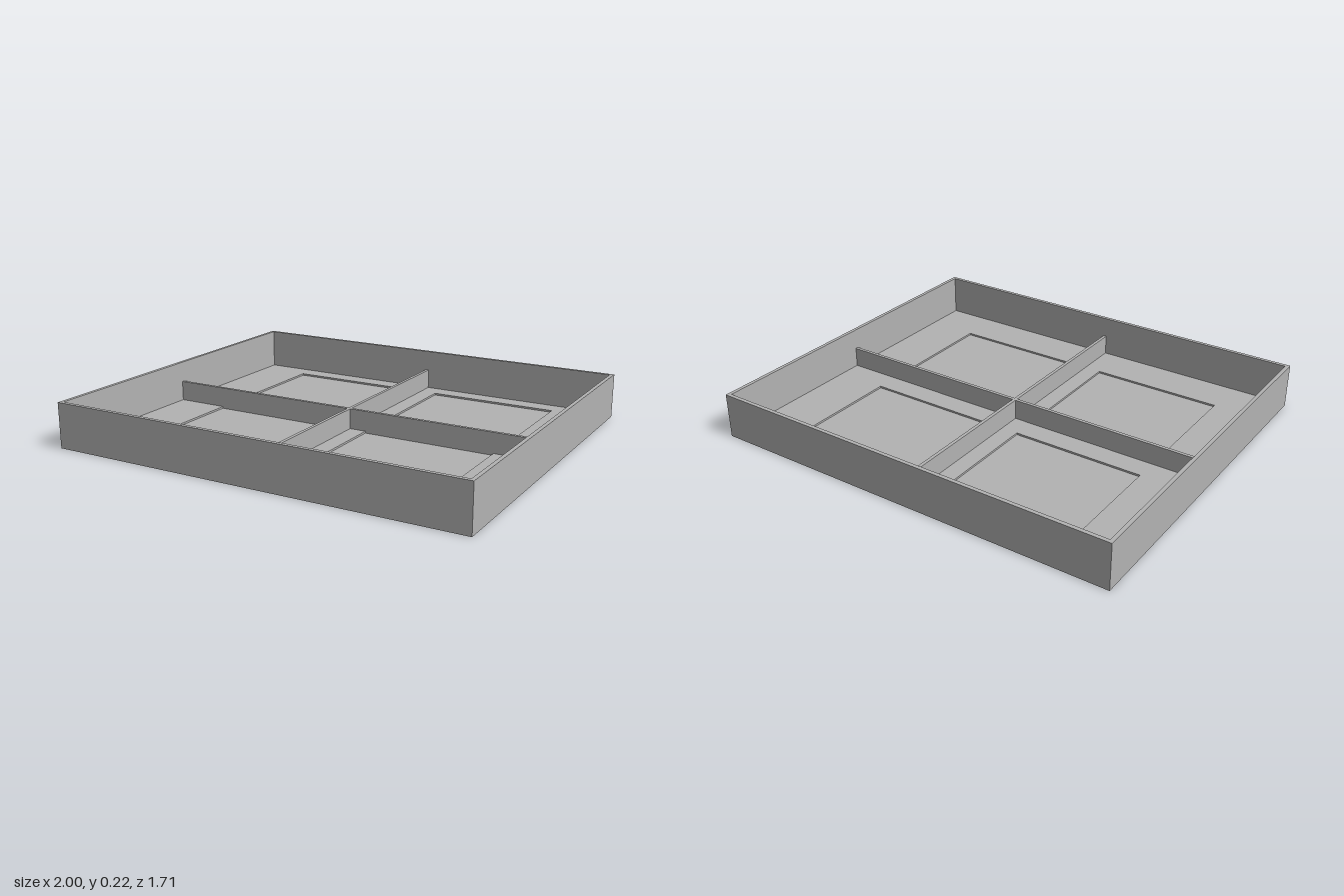
import * as THREE from 'three';

const W = 2, D = 1.71, H = 0.215;   // outer size
const WALL = 0.018;                 // wall thickness
const BASE = 0.009, FLOOR = 0.018;  // recess level and floor level
const DIVIDER_TOP = 0.115;

export function createModel() {
  const group = new THREE.Group();
  group.name = 'dividedTray';
  const grey = new THREE.MeshStandardMaterial({ color: 0xb2b2b2 });
  grey.name = 'grey';

  const add = (name, geometry, x = 0, y = 0, z = 0) => {
    const mesh = new THREE.Mesh(geometry, grey);
    mesh.name = name;
    mesh.position.set(x, y, z);
    group.add(mesh);
  };

  // Closed rectangle outline in plan (x, z)
  const rect = (Type, x0, z0, x1, z1) => new Type([
    new THREE.Vector2(x0, z0), new THREE.Vector2(x1, z0),
    new THREE.Vector2(x1, z1), new THREE.Vector2(x0, z1),
  ]);

  // Flat plate with holes, hanging down from its top plane
  const plate = (outline, holes, thickness) => {
    outline.holes.push(...holes);
    return new THREE.ExtrudeGeometry(outline, { depth: thickness, bevelEnabled: false })
      .rotateX(Math.PI / 2);
  };

  const ix = W / 2 - WALL, iz = D / 2 - WALL;

  // Outer walls as one frame
  add('outerWalls', plate(
    rect(THREE.Shape, -W / 2, -D / 2, W / 2, D / 2),
    [rect(THREE.Path, -ix, -iz, ix, iz)], H), 0, H, 0);

  // Bottom slab, which is also the bottom of the recesses
  add('base', new THREE.BoxGeometry(ix * 2, BASE, iz * 2), 0, BASE / 2, 0);

  // Floor sheet with one square recess in each compartment
  const recesses = [];
  for (const side of [-1, 1]) {
    const x0 = side < 0 ? -0.73 : 0.09;
    for (const z0 of [-0.75, 0.003]) {
      recesses.push(rect(THREE.Path, x0, z0, x0 + 0.64, z0 + 0.63));
    }
  }
  add('recessedFloor', plate(
    rect(THREE.Shape, -ix, -iz, ix, iz), recesses, FLOOR - BASE), 0, FLOOR, 0);

  // Low crossing dividers
  const h = DIVIDER_TOP - BASE, y = BASE + h / 2;
  add('lengthDivider', new THREE.BoxGeometry(ix * 2, h, 0.016), 0, y, -0.003);
  const zMid = -0.003, half = 0.008;
  for (const [z0, z1] of [[-iz, zMid - half], [zMid + half, iz]]) {
    add('crossDivider', new THREE.BoxGeometry(0.016, h, z1 - z0), 0, y, (z0 + z1) / 2);
  }

  return group;
}
